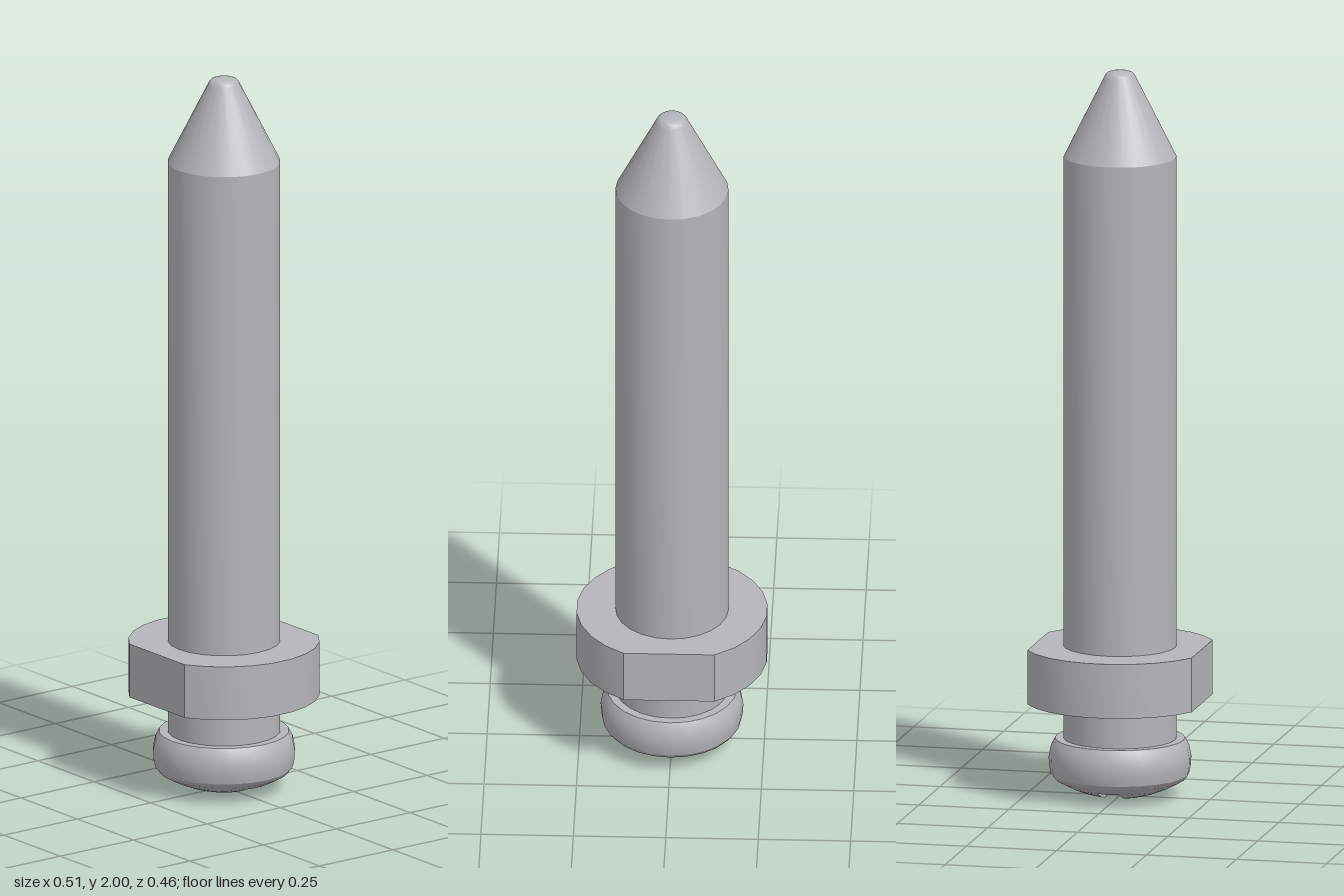
import * as THREE from 'three';
import { mergeGeometries, toCreasedNormals } from 'three/addons/utils/BufferGeometryUtils.js';

const CREASE = 0.45;
const SLOT = 0.03;                  // half width of the cross slot
const ROOF = 0.03;                  // height of the slot's floor
const R0 = SLOT * Math.SQRT2;       // inner corner of each dome quarter
const K = 1.66;                     // dome curvature
const R1 = Math.sqrt(ROOF / K + R0 * R0); // radius where the slot runs out
const dome = (r) => K * (r * r - R0 * R0);

// Grid surface whose front faces along u cross v
function surface(nu, nv, fn) {
  const pos = [], index = [];
  for (let i = 0; i <= nu; i++) {
    for (let j = 0; j <= nv; j++) {
      pos.push(...fn(i / nu, j / nv));
      if (i < nu && j < nv) {
        const a = i * (nv + 1) + j, b = a + nv + 1;
        index.push(a, b, a + 1, b, b + 1, a + 1);
      }
    }
  }
  const g = new THREE.BufferGeometry();
  g.setAttribute('position', new THREE.Float32BufferAttribute(pos, 3));
  g.setIndex(index);
  g.computeVertexNormals();
  return g;
}

function lathe(points) {
  const profile = points.map(([r, y]) => new THREE.Vector2(r, y));
  return toCreasedNormals(new THREE.LatheGeometry(profile, 24), CREASE);
}

export function createModel() {
  const group = new THREE.Group();
  const steel = new THREE.MeshStandardMaterial({ color: 0xb6b6ba });
  steel.name = 'steel grey';
  const add = (name, geometry) => {
    const mesh = new THREE.Mesh(geometry, steel);
    mesh.name = name;
    group.add(mesh);
  };

  // Shaft with tapered, rounded tip
  add('shaft', lathe([
    [0.153, 0.16], [0.153, 1.765], [0.044, 1.982], [0.04, 1.99],
    [0.034, 1.996], [0.026, 1.999], [0, 2],
  ]));

  // Collar: round disc with flats on front and back
  const outline = [];
  const end = Math.asin(0.228 / 0.259);
  for (const side of [0, Math.PI]) {
    for (let i = 0; i <= 9; i++) {
      const a = side - end + (2 * end * i) / 9;
      outline.push(new THREE.Vector2(0.259 * Math.cos(a), 0.259 * Math.sin(a)));
    }
  }
  const collar = new THREE.ExtrudeGeometry(new THREE.Shape(outline), { depth: 0.15, bevelEnabled: false });
  collar.rotateX(Math.PI / 2).translate(0, 0.415, 0);
  add('collar', toCreasedNormals(collar, CREASE));

  // Rounded head outside the slot
  add('head', lathe([
    [R1, ROOF], [0.176, dome(0.176)], [0.187, 0.062], [0.192, 0.085],
    [0.193, 0.11], [0.187, 0.14], [0.176, 0.16], [0.153, 0.16],
  ]));

  // Four dome quarters between the slot arms, each with two slot walls
  const radius = (t) => R0 + (R1 - R0) * t;
  const along = (r) => Math.sqrt(Math.max(r * r - SLOT * SLOT, 0));
  const height = (r, t) => dome(r) + (ROOF - dome(r)) * t;
  const quarter = surface(6, 6, (u, v) => {
    const r = radius(u), a0 = Math.asin(SLOT / r);
    const a = a0 + (Math.PI / 2 - 2 * a0) * v;
    return [r * Math.cos(a), dome(r), r * Math.sin(a)];
  });
  const wallA = surface(1, 6, (u, v) => [along(radius(v)), height(radius(v), u), SLOT]);
  const wallB = surface(6, 1, (u, v) => [SLOT, height(radius(u), v), along(radius(u))]);
  const domes = [], walls = [];
  for (let q = 0; q < 4; q++) {
    const turn = (g) => g.clone().rotateY((q * Math.PI) / 2);
    domes.push(turn(quarter));
    walls.push(turn(wallA), turn(wallB));
  }
  add('headDome', mergeGeometries(domes));
  add('slotWalls', mergeGeometries(walls));

  // Cross-shaped slot floor, facing down
  const cross = [];
  const a0 = Math.asin(SLOT / R1);
  for (let q = 0; q < 4; q++) {
    const polar = (r, a) => {
      const t = a + (q * Math.PI) / 2;
      cross.push(new THREE.Vector2(r * Math.cos(t), r * Math.sin(t)));
    };
    polar(R1, -a0);
    polar(R1, 0);
    polar(R1, a0);
    polar(R0, Math.PI / 4);
  }
  const floor = new THREE.ShapeGeometry(new THREE.Shape(cross));
  add('slotFloor', floor.rotateX(Math.PI / 2).translate(0, ROOF, 0));

  return group;
}
